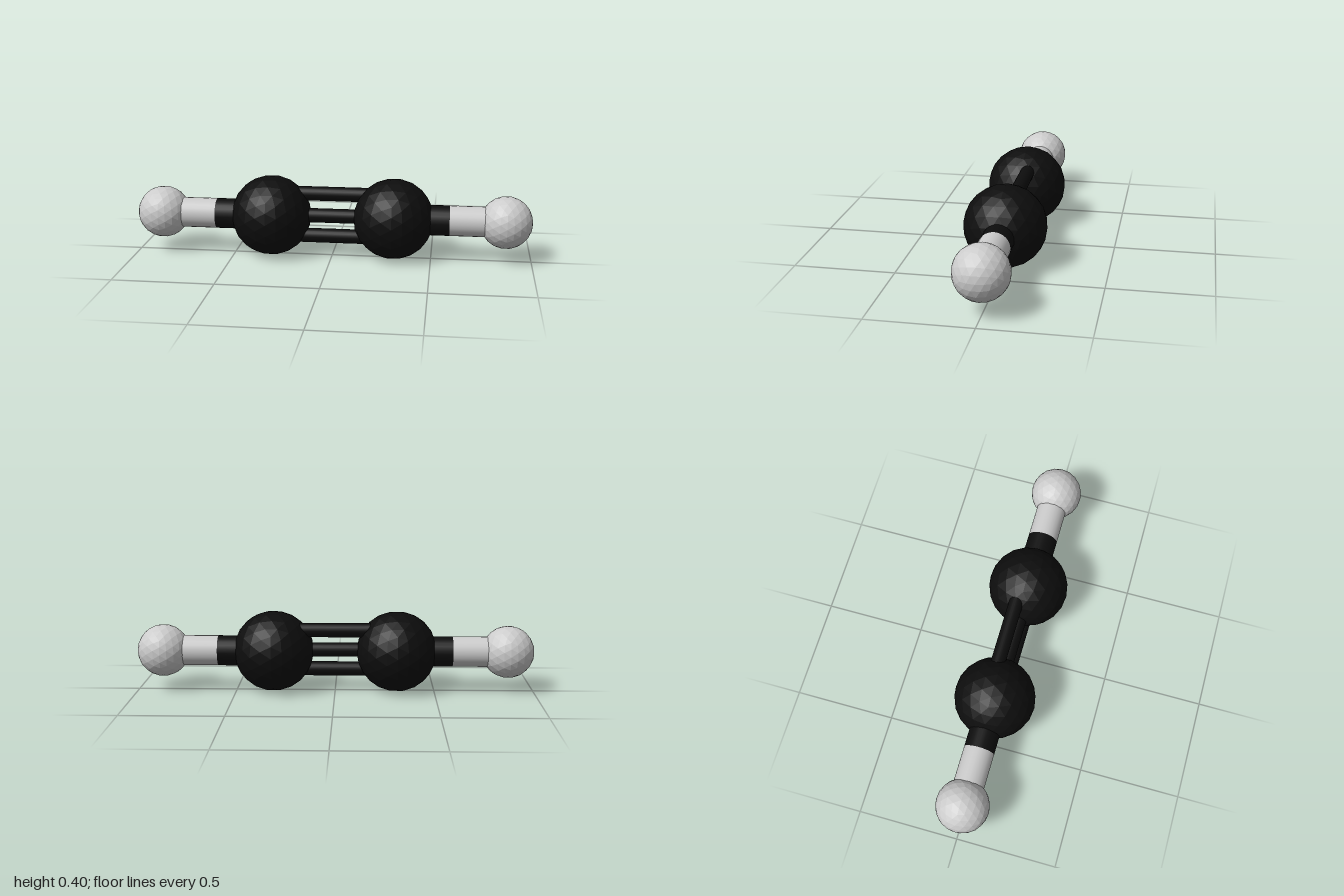
import * as THREE from 'three';

export function createModel() {
  const model = new THREE.Group();
  const midY = 0.202;
  const grey = new THREE.MeshStandardMaterial({ color: 0xcccccc });
  const greyFlat = new THREE.MeshStandardMaterial({ color: 0xcccccc, flatShading: true });
  const black = new THREE.MeshStandardMaterial({ color: 0x0d0d0d });
  const blackFlat = new THREE.MeshStandardMaterial({ color: 0x0d0d0d, flatShading: true });

  function add(name, geometry, material, x, y, z) {
    const mesh = new THREE.Mesh(geometry, material);
    mesh.name = name;
    mesh.position.set(x, y, z);
    model.add(mesh);
    return mesh;
  }

  // Faceted ball
  function ball(name, radius, material, x) {
    add(name, new THREE.IcosahedronGeometry(radius, 3), material, x, midY, 0);
  }

  // Round rod lying along x
  function rod(name, radius, x0, x1, material, y = midY, z = 0) {
    const geometry = new THREE.CylinderGeometry(radius, radius, Math.abs(x1 - x0), 24);
    geometry.rotateZ(Math.PI / 2);
    add(name, geometry, material, (x0 + x1) / 2, y, z);
  }

  for (const [side, s] of [['left', 1], ['right', -1]]) {
    ball(side + 'InnerBall', 0.202, blackFlat, s * 0.31);
    ball(side + 'OuterBall', 0.131, greyFlat, s * 0.869);
    // Single rod, half black and half grey
    rod(side + 'RodInnerHalf', 0.076, s * 0.31, s * 0.59, black);
    rod(side + 'RodOuterHalf', 0.076, s * 0.59, s * 0.869, grey);
  }

  // Three thin rods joining the inner balls
  const rods = [['upper', 0.314, -0.025], ['middle', 0.208, 0.005], ['lower', 0.107, 0.018]];
  for (const [name, y, z] of rods) {
    rod(name + 'CentreRod', 0.036, -0.31, 0.31, black, y, z);
  }

  return model;
}
